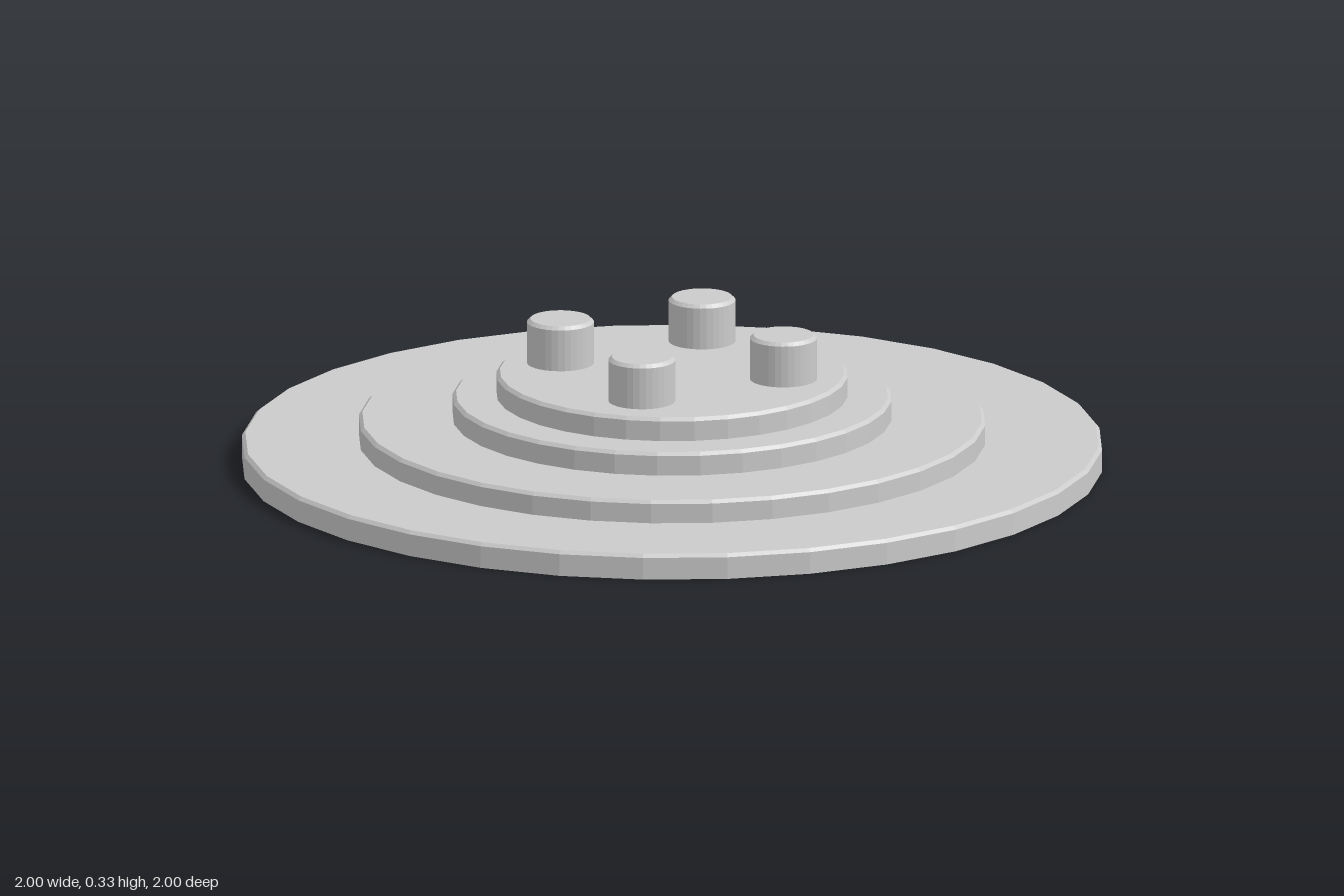
import * as THREE from 'three';

const SEGMENTS = 32;
const BEVEL = 0.008;

export function createModel() {
  const group = new THREE.Group();
  const material = new THREE.MeshStandardMaterial({
    color: 0xcccccc, flatShading: true, side: THREE.DoubleSide,
  });

  // Turned part: vertical wall, small bevel, flat top reaching in to innerRadius
  const turned = (name, radius, bottom, top, innerRadius, closed = false) => {
    const profile = [
      [radius, bottom], [radius, top - BEVEL], [radius - BEVEL, top], [innerRadius, top],
    ];
    if (closed) profile.unshift([0, bottom]);
    const points = profile.map(([x, y]) => new THREE.Vector2(x, y));
    const mesh = new THREE.Mesh(new THREE.LatheGeometry(points, SEGMENTS), material);
    mesh.name = name;
    group.add(mesh);
    return mesh;
  };

  // Stepped hollow tiers, open underneath; the third has a small centre hole
  turned('baseTier', 1, 0, 0.06, 0.728);
  turned('secondTier', 0.728, 0.06, 0.114, 0.51);
  turned('thirdTier', 0.51, 0.114, 0.169, 0.079);
  turned('topTier', 0.408, 0.169, 0.224, 0);

  // Four round pegs on the top tier
  for (let i = 0; i < 4; i++) {
    const angle = (i * Math.PI) / 2;
    const peg = turned('peg' + (i + 1), 0.078, 0.226, 0.332, 0, true);
    peg.position.set(Math.cos(angle) * 0.268, 0, Math.sin(angle) * 0.268);
  }

  return group;
}
